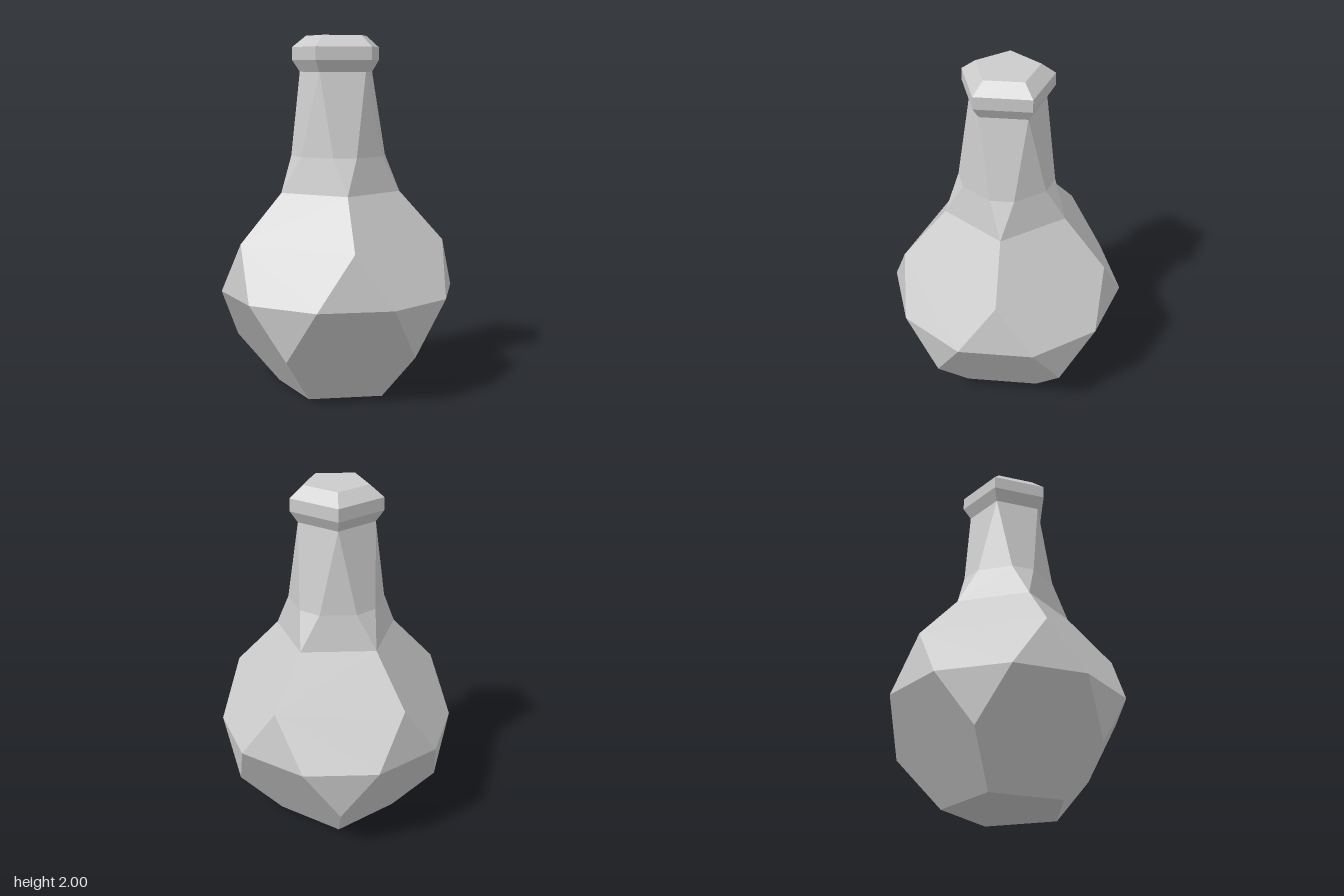
import * as THREE from 'three';

// Point on a horizontal ring: radius, height, angle in degrees (counterclockwise from +x, seen from above)
const at = (r, y, deg) => {
  const a = THREE.MathUtils.degToRad(deg);
  return new THREE.Vector3(r * Math.cos(a), y, -r * Math.sin(a));
};

// Mesh of flat polygons; every polygon is fanned from its first corner and has one normal
function facetMesh(name, faces) {
  const pos = [], nor = [];
  for (const f of faces) {
    const n = new THREE.Vector3();
    f.forEach((p, i) => n.add(p.clone().cross(f[(i + 1) % f.length])));
    n.normalize();
    for (let i = 1; i < f.length - 1; i++) {
      for (const p of [f[0], f[i], f[i + 1]]) {
        pos.push(p.x, p.y, p.z);
        nor.push(n.x, n.y, n.z);
      }
    }
  }
  const geo = new THREE.BufferGeometry();
  geo.setAttribute('position', new THREE.Float32BufferAttribute(pos, 3));
  geo.setAttribute('normal', new THREE.Float32BufferAttribute(nor, 3));
  const mesh = new THREE.Mesh(geo, new THREE.MeshStandardMaterial({ color: 0xcccccc }));
  mesh.name = name;
  return mesh;
}

export function createModel() {
  const group = new THREE.Group();
  group.name = 'facetedBottle';

  // Rings from the base up
  const base = a => at(0.351, 0, a);
  const low = a => at(0.596, 0.269, a);
  const belly = a => at(0.667, 0.567, a);
  const high = a => at(0.596, 0.865, a);
  const shoulder = a => at(0.351, 1.135, a);
  const throat = a => at(0.268, 1.335, a);
  const collar = a => at(0.218, 1.8, a);
  const rim = [collar, a => at(0.262, 1.865, a), a => at(0.262, 1.937, a), a => at(0.182, 2, a)];

  const turns = [0, 72, 144, 216, 288];
  const body = [turns.map(t => base(36 - t))];
  const neck = [];
  const lip = [turns.map(t => rim[3](36 + t))];

  for (const t of turns) {
    // Belly: six-sided panels alternating with triangles
    body.push(
      [low(t - 36), base(t - 36), base(t + 36), low(t + 36), belly(t + 18), belly(t - 18)],
      [low(t + 36), belly(t + 54), belly(t + 18)],
      [belly(t - 18), belly(t + 18), high(t)],
      [high(t), belly(t + 18), belly(t + 54), high(t + 72), shoulder(t + 72), shoulder(t)],
    );
    // Neck: pentagon turns by half a step through a ten-sided throat
    neck.push(
      [shoulder(t), throat(t + 14), throat(t - 14)],
      [shoulder(t), shoulder(t + 72), throat(t + 58), throat(t + 14)],
      [throat(t - 14), throat(t + 14), collar(t + 36), collar(t - 36)],
      [throat(t + 14), throat(t + 58), collar(t + 36)],
    );
    // Lip: three bands
    for (let i = 0; i < 3; i++) {
      lip.push([rim[i](t - 36), rim[i](t + 36), rim[i + 1](t + 36), rim[i + 1](t - 36)]);
    }
  }

  group.add(facetMesh('body', body), facetMesh('neck', neck), facetMesh('lip', lip));
  return group;
}
